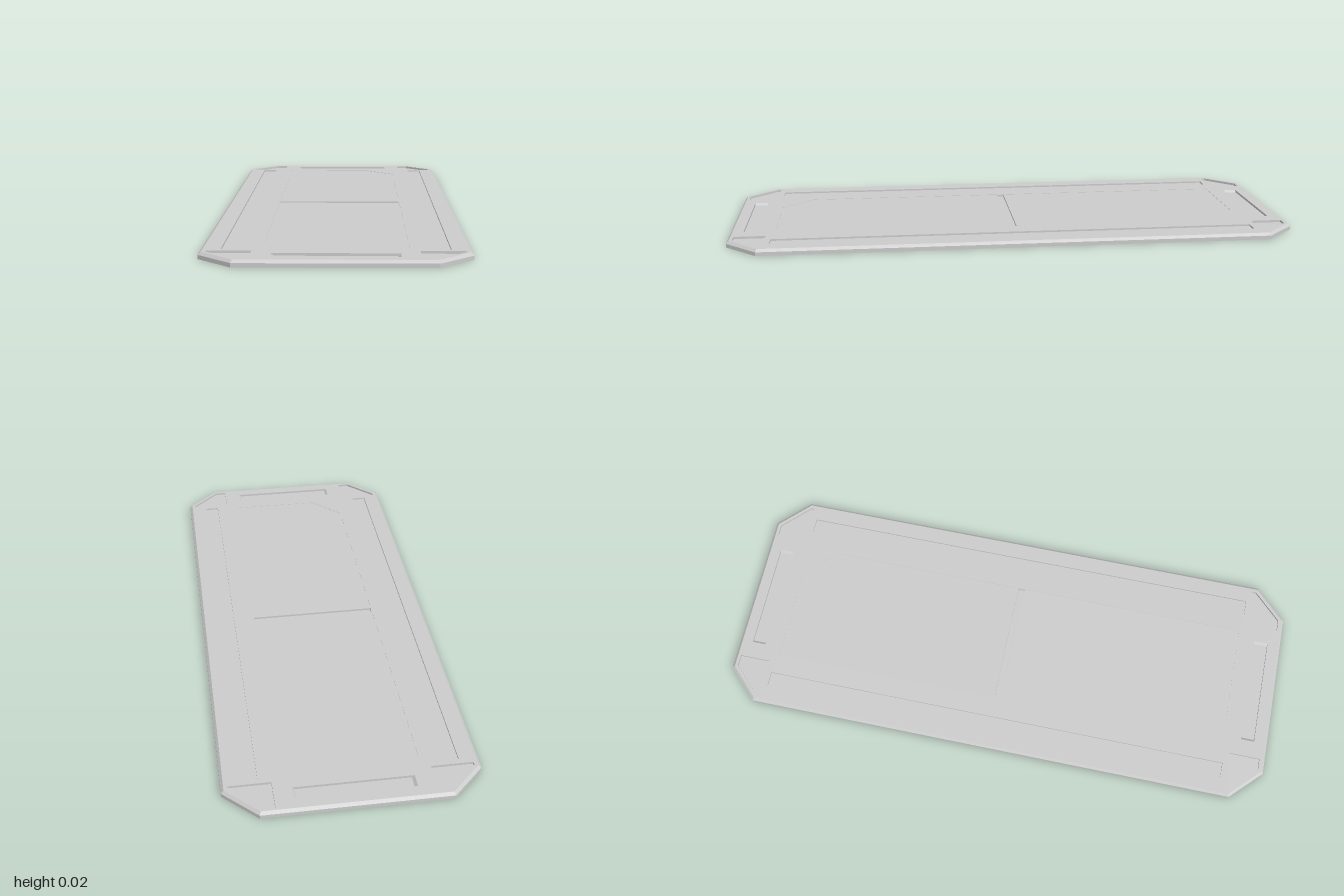
import * as THREE from 'three';

const TOP = 0.022, SHOULDER = 0.013;
const material = new THREE.MeshStandardMaterial({ color: 0xcccccc, flatShading: true, side: THREE.DoubleSide });

const rect = (x0, x1, z0, z1) => [[x0, z0], [x1, z0], [x1, z1], [x0, z1]];

// rectangle with cut corners
const octagon = (w, l, cx, cz) => [
  [cx, l], [w, cz], [w, -cz], [cx, -l], [-cx, -l], [-w, -cz], [-w, cz], [-cx, l],
];

function add(group, name, geometry) {
  const mesh = new THREE.Mesh(geometry, material);
  mesh.name = name;
  group.add(mesh);
}

// flat horizontal sheet with openings
function sheet(outline, y, holes = []) {
  const toPoints = (pts) => pts.map(([x, z]) => new THREE.Vector2(x, -z));
  const shape = new THREE.Shape(toPoints(outline));
  for (const hole of holes) shape.holes.push(new THREE.Path(toPoints(hole)));
  return new THREE.ShapeGeometry(shape).rotateX(-Math.PI / 2).translate(0, y, 0);
}

// wall strip joining two matching outlines
function band(lower, y0, upper, y1) {
  const pos = [];
  lower.forEach((a, i) => {
    const j = (i + 1) % lower.length;
    const p = [a[0], y0, a[1]], q = [lower[j][0], y0, lower[j][1]];
    const r = [upper[j][0], y1, upper[j][1]], s = [upper[i][0], y1, upper[i][1]];
    pos.push(...p, ...q, ...r, ...p, ...r, ...s);
  });
  const geometry = new THREE.BufferGeometry();
  geometry.setAttribute('position', new THREE.Float32BufferAttribute(pos, 3));
  geometry.computeVertexNormals();
  return geometry;
}

// recess: walls going down to a floor
function pocket(group, name, outline, top, depth, floor = outline, holes = []) {
  add(group, name + 'Walls', band(floor, top - depth, outline, top));
  add(group, name + 'Floor', sheet(floor, top - depth, holes));
}

export function createModel() {
  const model = new THREE.Group();
  model.name = 'coverPlate';

  // outer rim and chamfer
  const outer = octagon(0.415, 1, 0.305, 0.89);
  const inner = octagon(0.406, 0.991, 0.301, 0.886);
  add(model, 'rimWall', band(outer, 0, outer, SHOULDER));
  add(model, 'rimChamfer', band(outer, SHOULDER, inner, TOP));

  const holes = [];

  // corner pockets and side rails
  const corner = [[0.255, 0.87], [0.255, 0.98], [0.296, 0.98], [0.393, 0.883], [0.393, 0.87]];
  for (const sx of [-1, 1]) {
    for (const sz of [-1, 1]) {
      const outline = corner.map(([x, z]) => [x * sx, z * sz]);
      holes.push(outline);
      pocket(model, 'cornerPocket', outline, TOP, 0.008);
    }
    const rail = rect(sx * 0.297, sx * 0.35, -0.85, 0.85);
    holes.push(rail);
    pocket(model, 'sideRail', rail, TOP, 0.006);
  }

  // end slots with sloping ends
  for (const sz of [-1, 1]) {
    const slot = rect(-0.195, 0.195, sz * 0.903, sz * 0.952);
    holes.push(slot);
    pocket(model, 'endSlot', slot, TOP, 0.008, rect(-0.186, 0.186, sz * 0.903, sz * 0.952));
  }

  // shallow centre panel, two opposite corners cut, with a cross groove
  const panel = [
    [-0.225, -0.84], [0.117, -0.84], [0.225, -0.73],
    [0.225, 0.84], [-0.117, 0.84], [-0.225, 0.73],
  ];
  const groove = rect(-0.223, 0.223, -0.013, 0.013);
  holes.push(panel);
  pocket(model, 'centrePanel', panel, TOP, 0.001, panel, [groove]);
  pocket(model, 'crossGroove', groove, TOP - 0.001, 0.007);

  // top face around all recesses
  add(model, 'topFace', sheet(inner, TOP, holes));
  return model;
}
